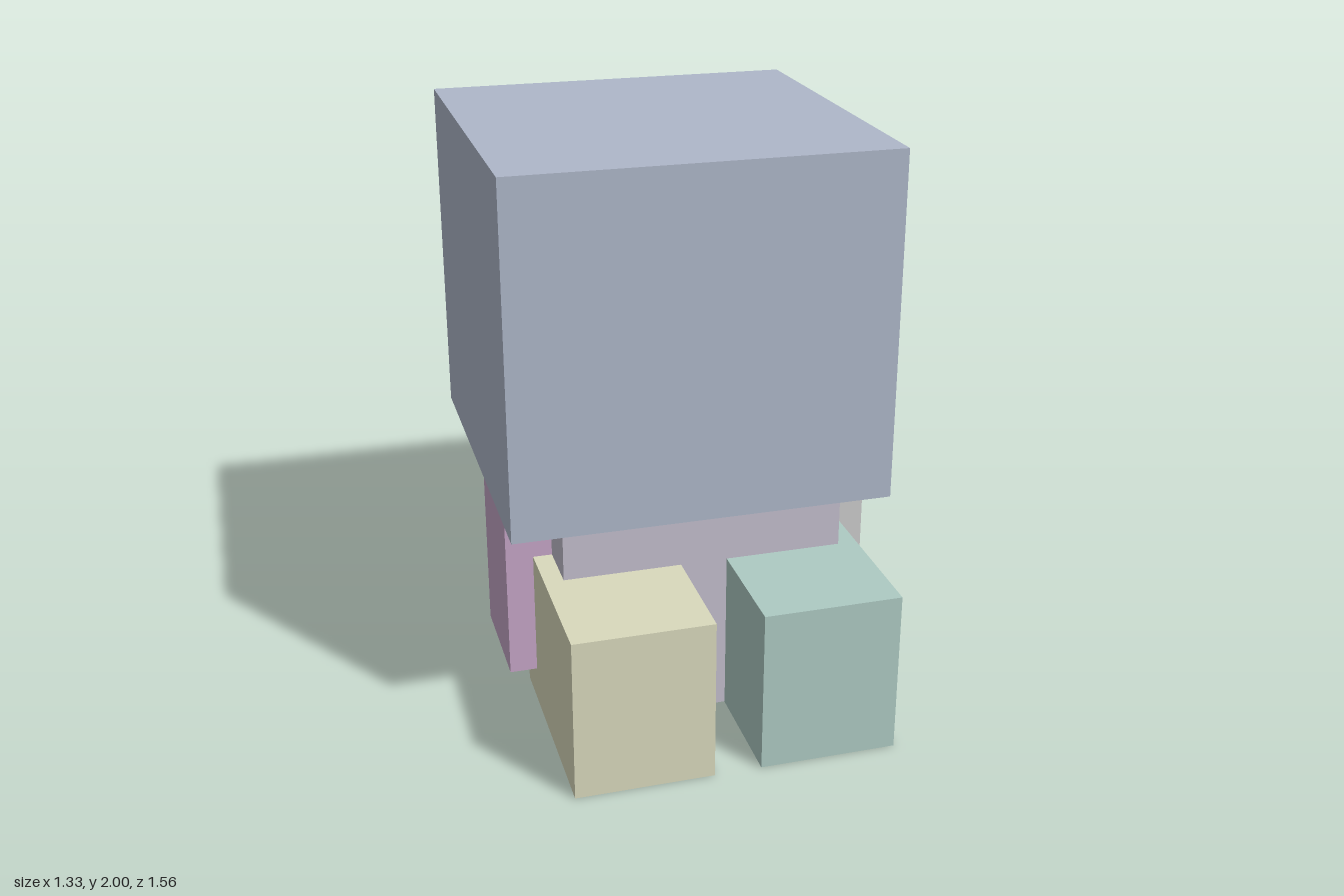
import * as THREE from 'three';

// Box given by its [min, max] range on each axis
function block(name, color, [x0, x1], [y0, y1], [z0, z1]) {
  const mesh = new THREE.Mesh(
    new THREE.BoxGeometry(x1 - x0, y1 - y0, z1 - z0),
    new THREE.MeshStandardMaterial({ color })
  );
  mesh.position.set((x0 + x1) / 2, (y0 + y1) / 2, (z0 + z1) / 2);
  mesh.name = name;
  return mesh;
}

export function createModel() {
  const model = new THREE.Group();
  model.name = 'blockFigure';

  // Oversized cube head and the torso under it
  model.add(block('head', 0xaeb7c9, [-0.667, 0.632], [0.8, 2], [-0.778, 0.492]));
  model.add(block('torso', 0xc3becd, [-0.475, 0.502], [0.002, 0.81], [-0.362, 0.366]));

  // Paired parts, placed either side of the torso's centre line
  const centre = 0.014;
  const sides = [
    { side: 'left', s: 1, arm: 0xcccccc, leg: 0xadcac3, strip: 0xadcac3 },
    { side: 'right', s: -1, arm: 0xc5a5c6, leg: 0xd9d9bc, strip: 0xd9d9bc },
  ];
  for (const { side, s, arm, leg, strip } of sides) {
    const span = (a, b) => [centre + s * a, centre + s * b].sort((p, q) => p - q);
    // Arm slab against the torso
    model.add(block(side + 'Arm', arm, span(0.488, 0.65), [0.13, 0.828], [-0.235, 0.175]));
    // Leg stretched forward in a sitting pose
    model.add(block(side + 'Leg', leg, span(0.081, 0.555), [0, 0.575], [0.02, 0.778]));
    // Thin strip showing behind the arm
    model.add(block(side + 'Strip', strip, span(0.493, 0.521), [0.48, 0.82], [-0.268, -0.2]));
  }
  return model;
}
